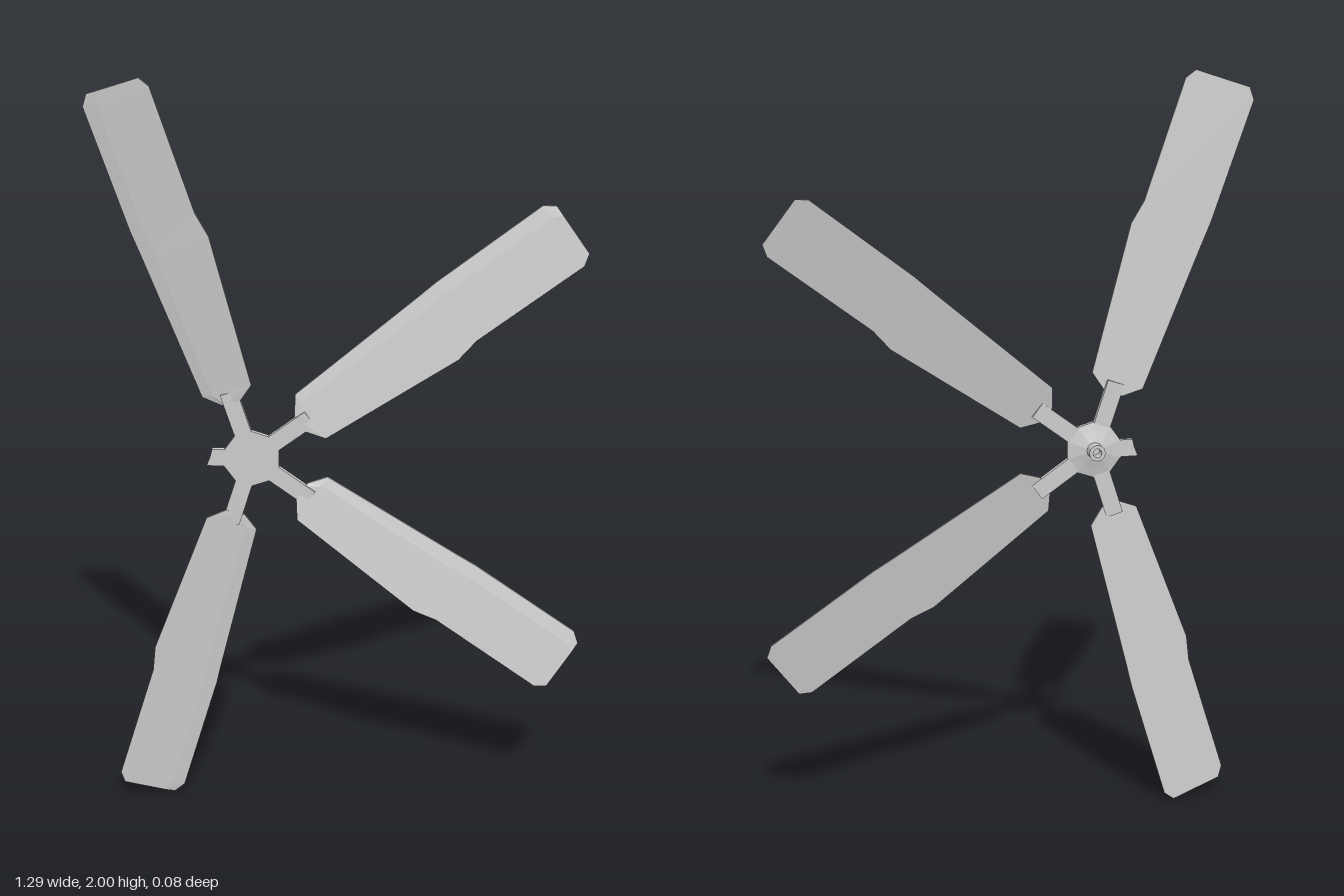
import * as THREE from 'three';

const material = new THREE.MeshStandardMaterial({ color: 0xcccccc, flatShading: true });

// Blade outline: [distance from hub, trailing edge, leading edge]
const STATIONS = [
  [0.16, -0.022, 0.028], [0.195, -0.066, 0.072], [0.6, -0.091, 0.097],
  [0.667, -0.077, 0.102], [1.0, -0.075, 0.107], [1.028, -0.056, 0.087],
];

// Pitched, thin blade lofted through five-point cross-sections
function bladeGeometry() {
  const t = 0.0035, n = 5;
  const pitch = (v) => 0.0155 - 0.21 * v;
  const positions = [], index = [];
  for (const [u, lo, hi] of STATIONS) {
    const crease = hi - (hi - lo) * 0.2;
    const ring = [[lo, -t], [hi, -t], [hi, t], [crease, t + 0.003], [lo, t]];
    for (const [v, dz] of ring) positions.push(u, v, pitch(v) + dz);
  }
  const last = (STATIONS.length - 1) * n;
  for (let i = 0; i < last; i += n) {
    for (let j = 0; j < n; j++) {
      const k = (j + 1) % n;
      index.push(i + j, i + k, i + n + k, i + j, i + n + k, i + n + j);
    }
  }
  for (let j = 1; j < n - 1; j++) {
    index.push(0, j + 1, j, last, last + j, last + j + 1);
  }
  const g = new THREE.BufferGeometry();
  g.setAttribute('position', new THREE.Float32BufferAttribute(positions, 3));
  g.setIndex(index);
  const flat = g.toNonIndexed();
  flat.computeVertexNormals();
  return flat;
}

function addMesh(parent, name, geometry) {
  const mesh = new THREE.Mesh(geometry, material);
  mesh.name = name;
  parent.add(mesh);
  return mesh;
}

export function createModel() {
  const model = new THREE.Group();
  model.name = 'fanRotor';
  const rotor = new THREE.Group();
  rotor.name = 'rotor';
  rotor.position.set(-0.235, 1.005, 0);
  model.add(rotor);

  // Ten-sided hub: flat front, sloping back
  const profile = [[0, -0.008], [0.025, -0.007], [0.05, 0], [0.076, 0.006], [0.076, 0.022], [0, 0.022]]
    .map(([r, z]) => new THREE.Vector2(r, z));
  const hub = new THREE.LatheGeometry(profile, 10);
  hub.rotateX(Math.PI / 2);
  hub.rotateZ(Math.PI / 2 + Math.PI / 10);
  addMesh(rotor, 'hub', hub);

  // Hollow shaft sleeve at the back
  const sleeveProfile = [[0.012, -0.006], [0.012, -0.041], [0.022, -0.041], [0.022, -0.003]]
    .map(([r, z]) => new THREE.Vector2(r, z));
  const sleeve = new THREE.LatheGeometry(sleeveProfile.reverse(), 12);
  sleeve.rotateX(Math.PI / 2);
  const sleeveMesh = addMesh(rotor, 'shaftSleeve', sleeve);
  sleeveMesh.material = material.clone();
  sleeveMesh.material.side = THREE.DoubleSide;

  // Four arms with blades; the fifth position holds a broken arm
  const blade = bladeGeometry();
  const arm = new THREE.BoxGeometry(0.13, 0.046, 0.017);
  arm.translate(0.125, 0, 0.0135);
  for (const [i, degrees] of [36, 108, 252, 324].entries()) {
    const spoke = new THREE.Group();
    spoke.name = `spoke${i + 1}`;
    spoke.rotation.z = THREE.MathUtils.degToRad(degrees);
    addMesh(spoke, 'arm', arm);
    addMesh(spoke, 'blade', blade);
    rotor.add(spoke);
  }

  // Snapped-off arm stub
  const outline = [[-0.06, -0.022], [-0.06, 0.022], [-0.078, 0.025], [-0.105, 0.025], [-0.11, 0.005], [-0.12, -0.02]]
    .map(([x, y]) => new THREE.Vector2(x, y));
  const stub = new THREE.ExtrudeGeometry(new THREE.Shape(outline), { depth: 0.017, bevelEnabled: false });
  stub.translate(0, 0, 0.005);
  addMesh(rotor, 'brokenArm', stub);

  return model;
}
